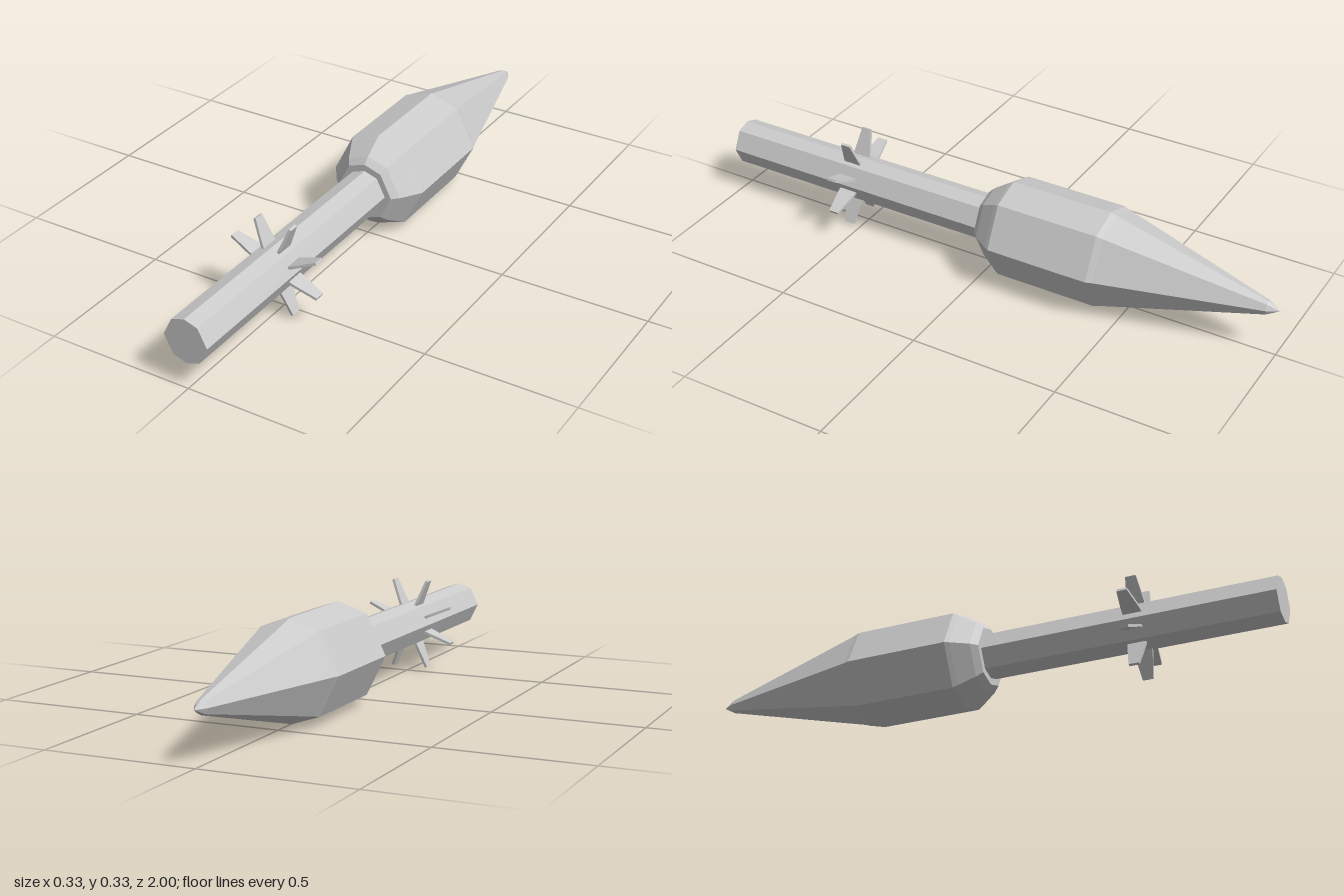
import * as THREE from 'three';

const AXIS_Y = 0.167;
const material = new THREE.MeshStandardMaterial({ color: 0xcccccc, flatShading: true });

// Eight-sided body along z from [radius, z] pairs, its diagonal edges drawn towards top and bottom
function octagonal(name, profile) {
  const points = profile.map(([r, z]) => new THREE.Vector2(r, z));
  const geometry = new THREE.LatheGeometry(points, 8).rotateX(Math.PI / 2);
  const p = geometry.attributes.position;
  for (let i = 0; i < p.count; i++) {
    const x = p.getX(i), y = p.getY(i);
    if (Math.abs(x) > 0.001 && Math.abs(y) > 0.001) {
      p.setXY(i, x * 0.6 * Math.SQRT2, y * 0.8 * Math.SQRT2);
    }
  }
  geometry.computeVertexNormals();
  const mesh = new THREE.Mesh(geometry, material);
  mesh.name = name;
  return mesh;
}

export function createModel() {
  const model = new THREE.Group();
  model.name = 'rocket';
  const body = new THREE.Group();
  body.name = 'body';
  body.position.y = AXIS_Y;
  model.add(body);

  // Warhead: pointed cone, straight barrel and bevelled rear shoulder
  body.add(octagonal('warhead', [
    [0, -1], [0.023, -0.96], [0.159, -0.44], [0.166, -0.42], [0.166, -0.07],
    [0.157, -0.055], [0.12, 0], [0.099, 0.02], [0, 0.02],
  ]));

  // Shaft
  body.add(octagonal('shaft', [[0, 0], [0.076, 0], [0.076, 1], [0, 1]]));

  // Ring of eight thin tapered fins
  const outline = new THREE.Shape([
    new THREE.Vector2(0.05, -0.032), new THREE.Vector2(0.085, -0.03),
    new THREE.Vector2(0.166, -0.017), new THREE.Vector2(0.166, 0.017),
    new THREE.Vector2(0.085, 0.03), new THREE.Vector2(0.05, 0.032),
  ]);
  const finGeometry = new THREE.ExtrudeGeometry(outline, { depth: 0.009, bevelEnabled: false })
    .translate(0, 0, -0.0045)
    .rotateX(Math.PI / 2);
  const fins = new THREE.Group();
  fins.name = 'fins';
  fins.position.z = 0.535;
  for (let i = 0; i < 8; i++) {
    const fin = new THREE.Mesh(finGeometry, material);
    fin.name = 'fin';
    fin.rotation.z = (i + 0.5) * Math.PI / 4;
    fins.add(fin);
  }
  body.add(fins);
  return model;
}
